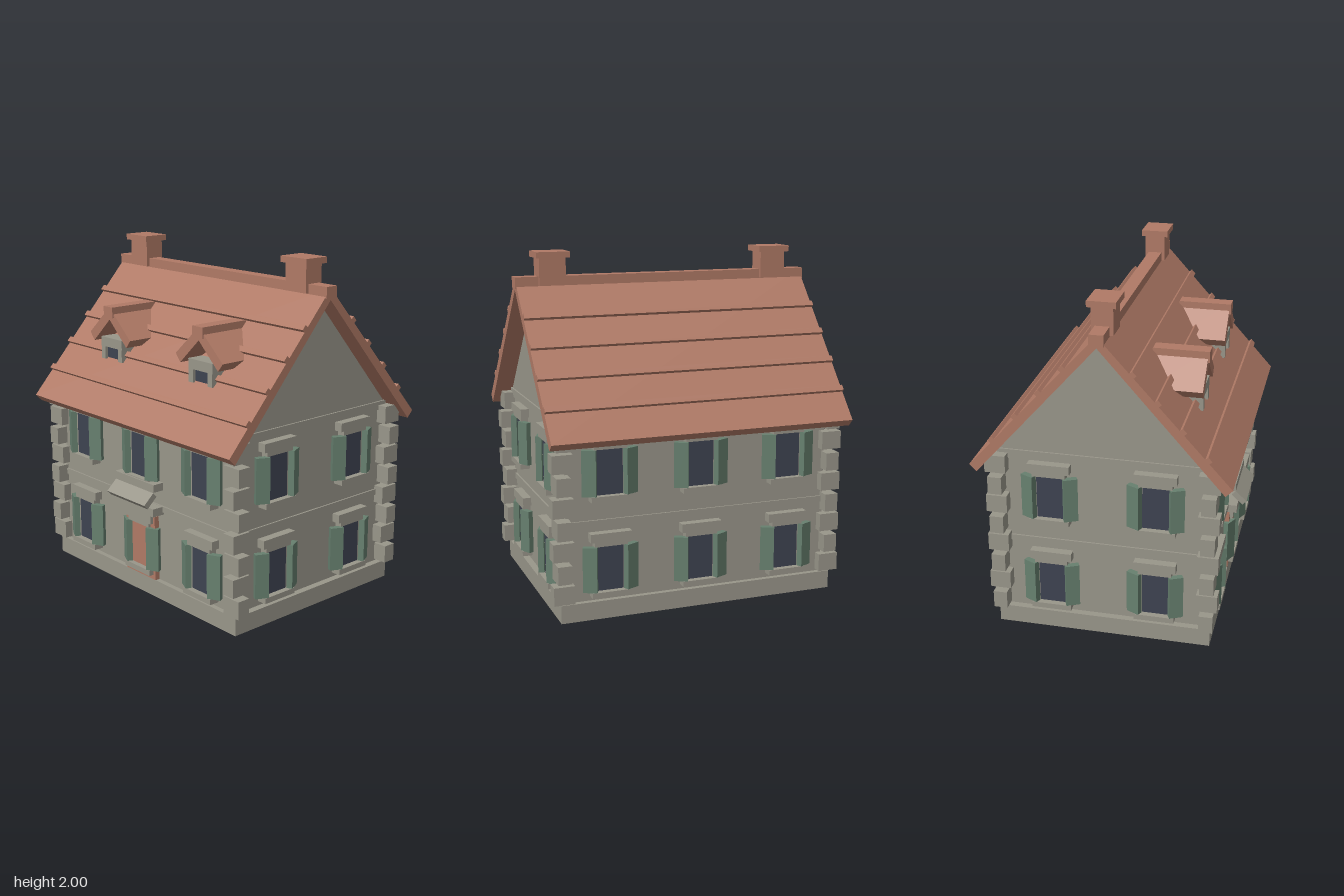
import * as THREE from 'three';

const mat = (name, color) => {
  const m = new THREE.MeshStandardMaterial({ color, flatShading: true });
  m.name = name;
  return m;
};

export function createModel() {
  const stone = mat('stone', 0x99968a);
  const tile = mat('terracotta', 0xb07a66);
  const green = mat('shutter green', 0x67806f);
  const glass = mat('window glass', 0x3e4351);

  const house = new THREE.Group();
  house.name = 'house';

  const add = (parent, name, geo, material, x = 0, y = 0, z = 0) => {
    const mesh = new THREE.Mesh(geo, material);
    mesh.name = name;
    mesh.position.set(x, y, z);
    parent.add(mesh);
    return mesh;
  };
  const box = (parent, name, material, w, h, d, x, y, z) =>
    add(parent, name, new THREE.BoxGeometry(w, h, d), material, x, y, z);
  // Box given by its lower and upper corners
  const span = (parent, name, material, a, b) =>
    box(parent, name, material, b[0] - a[0], b[1] - a[1], b[2] - a[2],
      (a[0] + b[0]) / 2, (a[1] + b[1]) / 2, (a[2] + b[2]) / 2);
  // Profile of [z, y] points extruded along x, centred
  const alongX = (points, length) => {
    const shape = new THREE.Shape(points.map(([z, y]) => new THREE.Vector2(-z, y)));
    const geo = new THREE.ExtrudeGeometry(shape, { depth: length, bevelEnabled: false });
    return geo.translate(0, 0, -length / 2).rotateY(Math.PI / 2);
  };

  // Walls with gables, foundation and string courses
  const WX = 0.785, WZ = 0.59;
  add(house, 'walls', alongX(
    [[-WZ, 0.05], [-WZ, 1.11], [0, 1.785], [WZ, 1.11], [WZ, 0.05]], 2 * WX), stone);
  box(house, 'foundation', stone, 1.65, 0.105, 1.24, 0, 0.0525, 0);
  box(house, 'middleCourse', stone, 1.59, 0.035, 1.2, 0, 0.552, 0);
  box(house, 'topCourse', stone, 1.59, 0.05, 1.2, 0, 1.085, 0);

  // Corner stones, alternating long in x and long in z
  for (const sx of [-1, 1]) for (const sz of [-1, 1]) {
    for (let i = 0; i < 8; i++) {
      const wide = i % 2 === 0;
      box(house, 'cornerStone', stone, wide ? 0.12 : 0.08, 0.104, wide ? 0.08 : 0.12,
        sx * 0.81, 0.168 + i * 0.124, sz * 0.6);
    }
  }

  // Window with frame, lintel, sill and half-open shutters; y is the pane centre
  const addWindow = (wall, x, y, isDoor = false) => {
    const win = new THREE.Group();
    win.name = isDoor ? 'doorSurround' : 'window';
    win.position.set(x, y, 0);
    wall.add(win);
    if (isDoor) {
      box(win, 'door', tile, 0.27, 0.39, 0.04, 0, 0.005, 0.01);
    } else {
      box(win, 'frame', stone, 0.19, 0.32, 0.04, 0, 0, 0);
      box(win, 'pane', glass, 0.15, 0.26, 0.006, 0, 0, 0.022);
    }
    box(win, 'lintel', stone, 0.24, 0.05, 0.07, 0, 0.182, 0.015);
    box(win, 'head', stone, 0.19, 0.03, 0.07, 0, 0.145, 0.01);
    box(win, 'sill', stone, 0.23, 0.032, 0.08, 0, -0.146, 0.02);
    for (const s of [-1, 1]) {
      box(win, 'shutter', green, 0.08, 0.26, 0.035, s * 0.119, 0, 0.03).rotation.y = s * 0.45;
    }
  };

  const sides = [
    ['frontWall', 0, WZ, [-0.537, 0, 0.537]],
    ['backWall', Math.PI, WZ, [-0.537, 0, 0.537]],
    ['leftWall', Math.PI / 2, WX, [-0.3, 0.3]],
    ['rightWall', -Math.PI / 2, WX, [-0.3, 0.3]],
  ];
  for (const [name, angle, dist, xs] of sides) {
    const wall = new THREE.Group();
    wall.name = name;
    wall.rotation.y = angle;
    wall.position.set(Math.sin(angle) * dist, 0, Math.cos(angle) * dist);
    house.add(wall);
    for (const x of xs) {
      addWindow(wall, x, 0.295, name === 'frontWall' && x === 0);
      addWindow(wall, x, 0.845);
    }
  }

  // Sloping hood over the door
  span(house, 'hoodBase', stone, [-0.185, 0.52, 0.58], [0.185, 0.568, 0.67]);
  span(house, 'hoodTop', stone, [-0.18, 0.665, 0.58], [0.18, 0.71, 0.66]);
  box(house, 'doorHood', stone, 0.35, 0.035, 0.09, 0, 0.618, 0.68).rotation.x = 0.75;

  // Main roof, tile battens and ridge
  add(house, 'roof', alongX([[0, 1.85], [0.73, 1.045], [0.69, 1.005], [0, 1.785],
    [-0.69, 1.005], [-0.73, 1.045]], 1.786), tile);
  const pitch = Math.atan2(0.805, 0.73);
  for (const s of [-1, 1]) for (const z of [0.186, 0.32, 0.455, 0.592]) {
    box(house, 'roofBatten', tile, 1.786, 0.036, 0.034, 0, 1.855 - z * 1.103, s * z)
      .rotation.x = s * pitch;
  }
  box(house, 'ridge', tile, 1.8, 0.065, 0.08, 0, 1.8275, 0);

  // Chimneys and dormers
  for (const s of [-1, 1]) {
    span(house, 'chimney', tile, [s * 0.687 - 0.078, 1.81, -0.06], [s * 0.687 + 0.078, 1.97, 0.06]);
    span(house, 'chimneyCap', tile, [s * 0.687 - 0.098, 1.965, -0.08], [s * 0.687 + 0.098, 2, 0.08]);

    const dormer = new THREE.Group();
    dormer.name = 'dormer';
    dormer.position.x = s * 0.403;
    house.add(dormer);
    span(dormer, 'dormerBody', stone, [-0.085, 1.3, 0.3], [0.085, 1.43, 0.475]);
    span(dormer, 'dormerPane', glass, [-0.065, 1.32, 0.475], [0.065, 1.39, 0.481]);
    span(dormer, 'dormerLintel', stone, [-0.1, 1.388, 0.4], [0.1, 1.445, 0.5]);
    for (const t of [-1, 1]) {
      span(dormer, 'dormerPost', stone, [t * 0.08 - 0.018, 1.312, 0.42], [t * 0.08 + 0.018, 1.395, 0.5]);
    }
    // Open-fronted gable roof of the dormer
    const gable = new THREE.Shape([[0, 1.635], [-0.195, 1.46], [-0.157, 1.413], [0, 1.56],
      [0.157, 1.413], [0.195, 1.46]].map(([x, y]) => new THREE.Vector2(x, y)));
    add(dormer, 'dormerRoof', new THREE.ExtrudeGeometry(gable,
      { depth: 0.305, bevelEnabled: false }), tile, 0, 0, 0.205);
    span(dormer, 'dormerRidge', tile, [-0.042, 1.575, 0.2], [0.042, 1.638, 0.52]);
  }
  return house;
}
